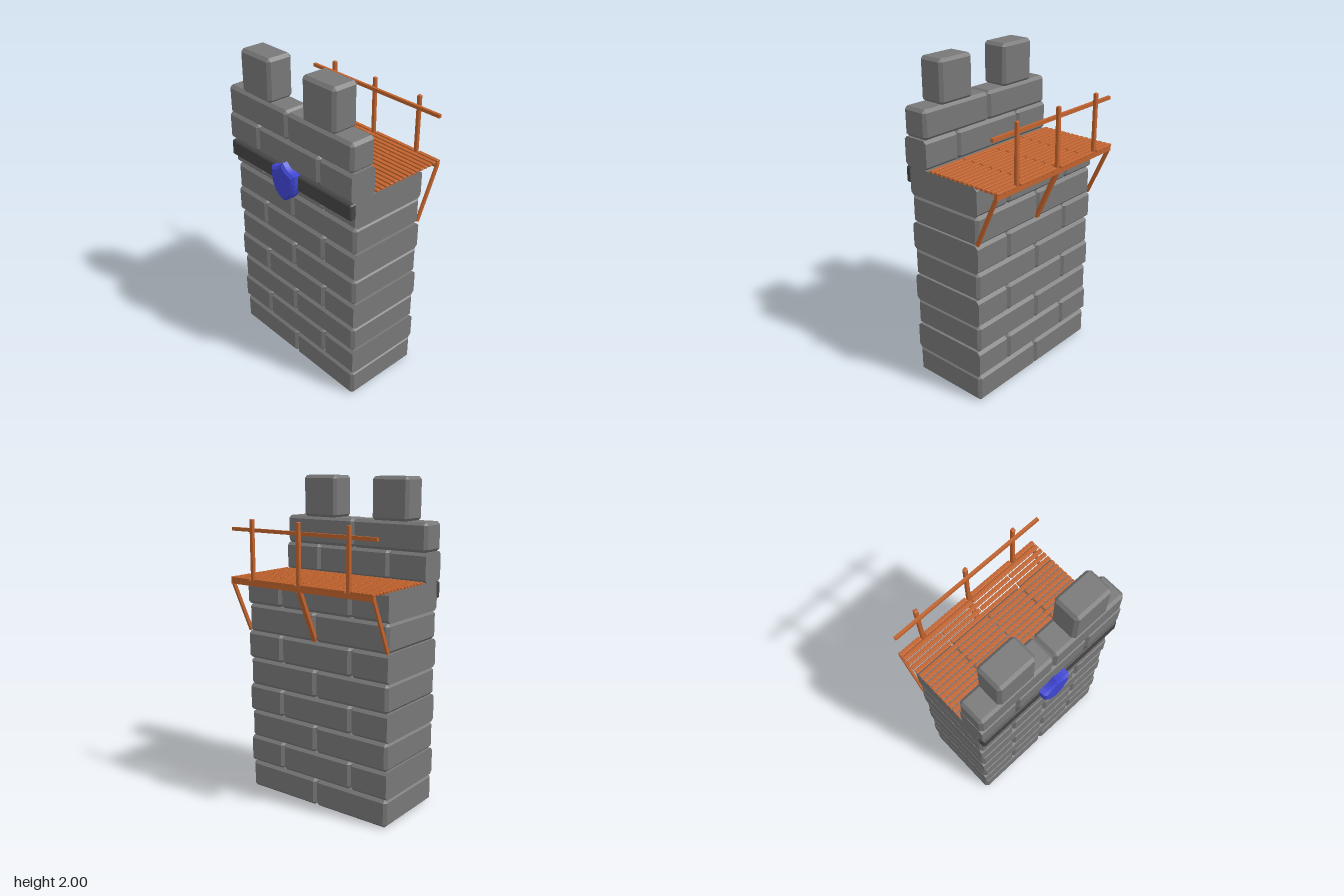
import * as THREE from 'three';
import { ConvexGeometry } from 'three/addons/geometries/ConvexGeometry.js';

const stone = new THREE.MeshStandardMaterial({ color: 0x777777, flatShading: true });
const iron = new THREE.MeshStandardMaterial({ color: 0x444444, flatShading: true });
const wood = new THREE.MeshStandardMaterial({ color: 0xc0622d, flatShading: true });
const blue = new THREE.MeshStandardMaterial({ color: 0x3f46d0, flatShading: true });

// Box between two corners with chamfered edges; cutEnd = -1 or 1 leaves that x end square
function chamferBox(x0, x1, y0, y1, z0, z1, c, cutEnd = 0) {
  const pts = [];
  for (const sx of [-1, 1]) for (const sy of [-1, 1]) for (const sz of [-1, 1]) {
    const X = sx < 0 ? x0 : x1, Y = sy < 0 ? y0 : y1, Z = sz < 0 ? z0 : z1;
    const xi = sx === cutEnd ? X : X - sx * c, yi = Y - sy * c, zi = Z - sz * c;
    if (sx !== cutEnd) pts.push(new THREE.Vector3(X, yi, zi));
    pts.push(new THREE.Vector3(xi, Y, zi), new THREE.Vector3(xi, yi, Z));
  }
  return new ConvexGeometry(pts);
}

function add(parent, name, geometry, material) {
  const mesh = new THREE.Mesh(geometry, material);
  mesh.name = name;
  parent.add(mesh);
  return mesh;
}

function group(parent, name) {
  const g = new THREE.Group();
  g.name = name;
  parent.add(g);
  return g;
}

function box(parent, name, x0, x1, y0, y1, z0, z1, material = wood) {
  const mesh = add(parent, name, new THREE.BoxGeometry(x1 - x0, y1 - y0, z1 - z0), material);
  mesh.position.set((x0 + x1) / 2, (y0 + y1) / 2, (z0 + z1) / 2);
  return mesh;
}

const W = 0.52, ROW = 0.1745, C = 0.018;

// One course of bricks: two whole ones, or one whole between two halves
function course(parent, row, staggered, z0, z1) {
  const joints = staggered ? [-W, -W / 2, W / 2, W] : [-W, 0, W];
  for (let i = 0; i + 1 < joints.length; i++) {
    const cut = !staggered ? 0 : i === 0 ? -1 : i === 2 ? 1 : 0;
    add(parent, 'brick', chamferBox(joints[i], joints[i + 1], row * ROW, (row + 1) * ROW, z0, z1, C, cut), stone);
  }
}

export function createModel() {
  const model = new THREE.Group();
  model.name = 'castleWall';

  // Main wall
  const wall = group(model, 'wall');
  for (let r = 0; r < 8; r++) course(wall, r, r % 2 === 1, -0.225, 0.295);

  // Parapet and merlons
  const parapet = group(model, 'parapet');
  course(parapet, 8, true, 0.155, 0.325);
  course(parapet, 9, false, 0.155, 0.325);
  for (const x of [-0.262, 0.258])
    add(parapet, 'merlon', chamferBox(x - 0.127, x + 0.127, 1.742, 2, 0.155, 0.325, C), stone);

  // Dark band across the front
  add(model, 'band', chamferBox(-W, W, 1.29, 1.39, 0.28, 0.33, 0.008), iron);

  // Shield
  const b = 0.015;
  const s = new THREE.Shape();
  s.moveTo(0, 1.425);
  s.quadraticCurveTo(-0.035, 1.388, -0.083, 1.382);
  s.bezierCurveTo(-0.088, 1.30, -0.06, 1.245, 0, 1.222);
  s.bezierCurveTo(0.06, 1.245, 0.088, 1.30, 0.083, 1.382);
  s.quadraticCurveTo(0.035, 1.388, 0, 1.425);
  const shield = add(model, 'shield', new THREE.ExtrudeGeometry(s, {
    depth: 0.045, curveSegments: 6, bevelEnabled: true, bevelSegments: 1, bevelSize: b, bevelThickness: b,
  }), blue);
  shield.position.z = 0.312;

  // Walkway planks with staggered joints; the last row is notched around the posts
  const walkway = group(model, 'walkway');
  const posts = [-0.35, 0, 0.35];
  for (let i = 0; i < 15; i++) {
    const z = 0.123 - i * 0.0347;
    const gap = i === 14 ? 0.018 : 0.004;
    const cuts = i === 14 ? posts : i % 2 ? [0] : [-0.26, 0.26];
    const ends = [-W - gap, ...cuts, W + gap];
    for (let j = 0; j + 1 < ends.length; j++)
      add(walkway, 'plank', chamferBox(ends[j] + gap, ends[j + 1] - gap, 1.393, 1.408, z - 0.0125, z + 0.0125, 0.002), wood);
  }
  box(walkway, 'edgeBeam', -W, W, 1.365, 1.393, -0.371, -0.349);

  // Railing
  const railing = group(model, 'railing');
  for (const x of posts)
    add(railing, 'railPost', chamferBox(x - 0.012, x + 0.012, 1.37, 1.757, -0.371, -0.349, 0.003), wood);
  box(railing, 'handrail', -W, 0.523, 1.681, 1.702, -0.349, -0.331);

  // Diagonal braces under the walkway
  const braces = group(model, 'braces');
  const low = new THREE.Vector2(-0.217, 1.055), high = new THREE.Vector2(-0.357, 1.368);
  const d = high.clone().sub(low);
  for (const [x, w] of [[-0.513, 0.014], [0, 0.03], [0.513, 0.014]]) {
    const brace = add(braces, 'brace', new THREE.BoxGeometry(w, d.length(), 0.022), wood);
    brace.position.set(x, (low.y + high.y) / 2, (low.x + high.x) / 2);
    brace.rotation.x = Math.atan2(d.x, d.y);
  }
  return model;
}
